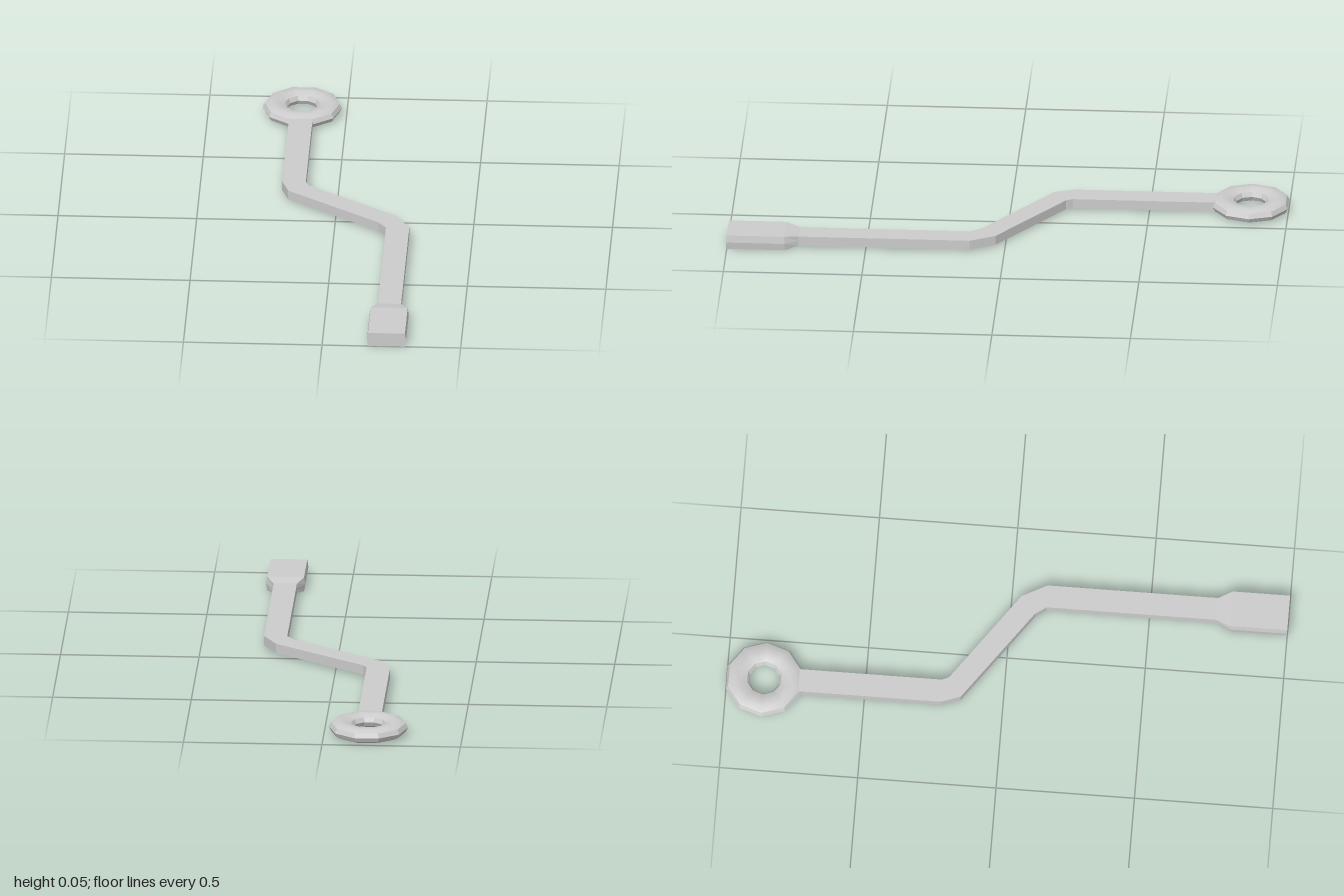
import * as THREE from 'three';
import { toCreasedNormals } from 'three/addons/utils/BufferGeometryUtils.js';

const MID = 0.0265; // height of the centre plane

// Loft six-sided sections; each station is [xLeft, zLeft, xRight, zRight, halfHeight, sideBulge]
function loft(stations) {
  const pos = [], index = [], n = 6;
  for (const [xa, za, xb, zb, h, b] of stations) {
    pos.push(xa, MID + h, za, xb, MID + h, zb, xb + b, MID, zb,
      xb, MID - h, zb, xa, MID - h, za, xa - b, MID, za);
  }
  const last = (stations.length - 1) * n;
  for (let s = 0; s < last; s += n) {
    for (let i = 0; i < n; i++) {
      const j = (i + 1) % n;
      index.push(s + i, s + n + i, s + j, s + j, s + n + i, s + n + j);
    }
  }
  // End caps
  for (let i = 1; i < n - 1; i++) {
    index.push(0, i, i + 1, last, last + i + 1, last + i);
  }
  const geo = new THREE.BufferGeometry();
  geo.setAttribute('position', new THREE.Float32BufferAttribute(pos, 3));
  geo.setIndex(index);
  const flat = geo.toNonIndexed();
  flat.computeVertexNormals();
  return flat;
}

export function createModel() {
  const group = new THREE.Group();
  const material = new THREE.MeshStandardMaterial({ color: 0xcccccc });
  const add = (name, geometry) => {
    const mesh = new THREE.Mesh(geometry, material);
    mesh.name = name;
    group.add(mesh);
    return mesh;
  };

  // Ten-sided eyelet ring with a flattened tube
  const ringGeo = new THREE.TorusGeometry(0.099, 0.044, 10, 10);
  ringGeo.rotateX(-Math.PI / 2);
  ringGeo.scale(1, 0.0265 / (0.044 * Math.sin(Math.PI * 0.4)), 1);
  const ring = add('eyeletRing', toCreasedNormals(ringGeo, 0.55));
  ring.position.set(-0.16, MID, -0.864);

  // Cranked flat bar with two bevelled bends
  const h = 0.0175;
  add('crankedBar', loft([
    [-0.202, -0.77, -0.117, -0.77, h, 0],
    [-0.202, -0.225, -0.117, -0.225, h, 0],
    [-0.177, -0.153, -0.105, -0.2, h, 0],
    [0.16, 0.088, 0.225, 0.035, h, 0],
    [0.189, 0.128, 0.273, 0.126, h, 0],
    [0.189, 0.742, 0.273, 0.742, h, 0],
  ]));

  // Thickened tip that flares out of the bar
  add('flaredTip', loft([
    [0.189, 0.742, 0.273, 0.742, h, 0],
    [0.166, 0.792, 0.299, 0.792, 0.0265, 0.004],
    [0.166, 1, 0.299, 1, 0.0265, 0.004],
  ]));

  return group;
}
